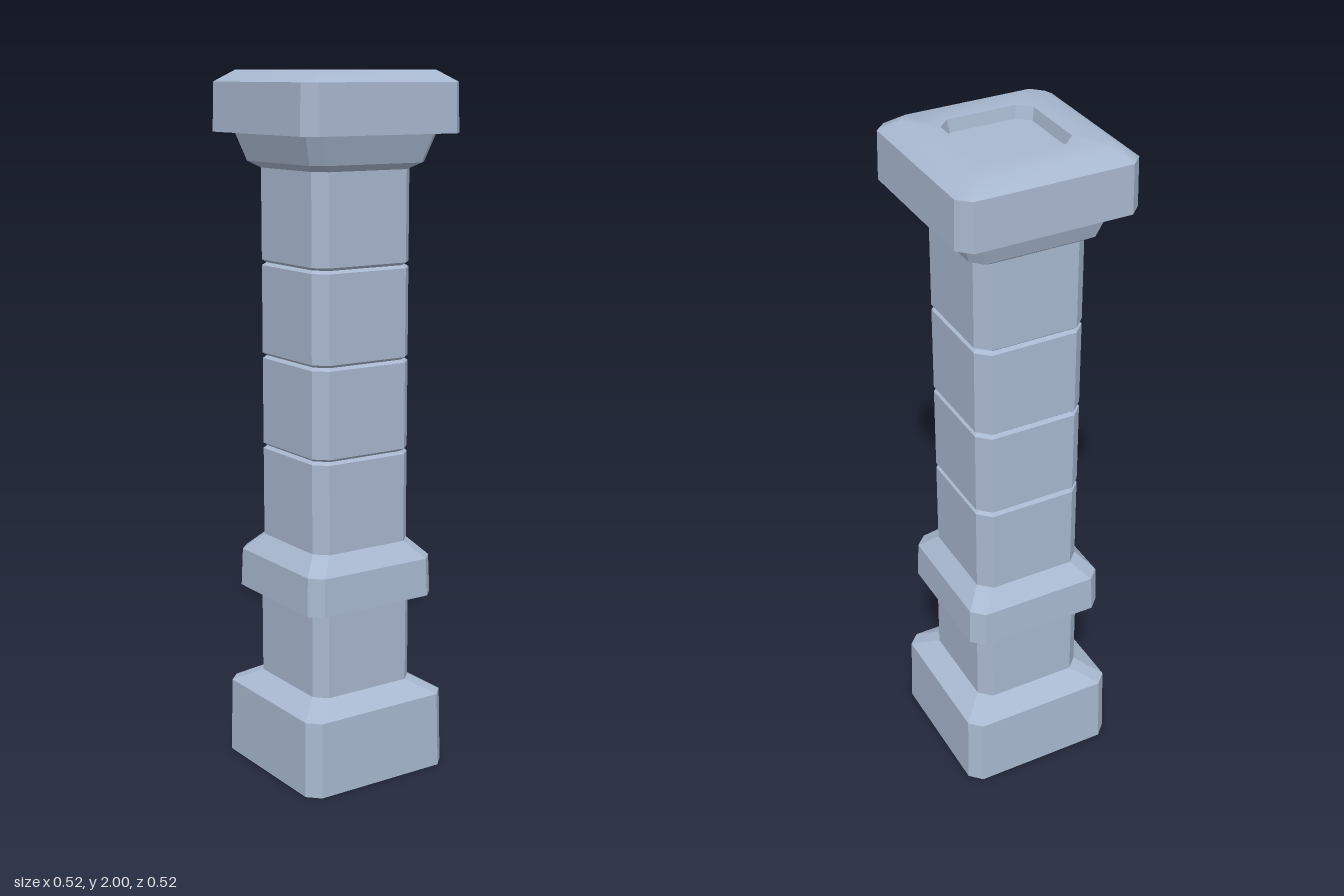
import * as THREE from 'three';

// Eight corners of a chamfered square, counter-clockwise from above
function ring([half, flat, y]) {
  return [[half, -flat], [half, flat], [flat, half], [-flat, half],
    [-half, flat], [-half, -flat], [-flat, -half], [flat, -half]]
    .map(([x, z]) => [x, y, -z]);
}

// Skin between rings given as [half width, half flat, height]
function loft(profile, smooth = false) {
  const index = [];
  for (let r = 0; r < profile.length - 1; r++) {
    for (let i = 0; i < 8; i++) {
      const a = r * 8 + i, b = r * 8 + (i + 1) % 8;
      index.push(a, b, b + 8, a, b + 8, a + 8);
    }
  }
  let geo = new THREE.BufferGeometry();
  geo.setAttribute('position', new THREE.Float32BufferAttribute(profile.flatMap(ring).flat(), 3));
  geo.setIndex(index);
  if (!smooth) geo = geo.toNonIndexed();
  geo.computeVertexNormals();
  return geo;
}

export function createModel() {
  const group = new THREE.Group();
  const stone = new THREE.MeshStandardMaterial({ color: 0xa8b8cf, side: THREE.DoubleSide });
  stone.name = 'blue grey stone';
  const add = (name, geo) => {
    const mesh = new THREE.Mesh(geo, stone);
    mesh.name = name;
    group.add(mesh);
    return mesh;
  };

  // Foot block, open underneath, with sloped shoulder
  add('base', loft([[0.238, 0.204, 0], [0.234, 0.2, 0.22], [0.167, 0.133, 0.26]]));
  add('lowerShaft', loft([[0.167, 0.133, 0.26], [0.167, 0.133, 0.52]]));
  add('collar', loft([[0.167, 0.133, 0.52], [0.212, 0.177, 0.52],
    [0.208, 0.174, 0.63], [0.162, 0.127, 0.68]]));

  // Four stacked shaft blocks separated by narrow V grooves
  const joints = [0.68, 0.944, 1.207, 1.472, 1.735];
  for (let i = 0; i < 4; i++) {
    const profile = [[0.162, 0.127, joints[i]], [0.162, 0.127, joints[i + 1]]];
    if (i > 0) {
      profile[0][2] += 0.008;
      profile.unshift([0.152, 0.119, joints[i]]);
    }
    if (i < 3) {
      profile[profile.length - 1][2] -= 0.008;
      profile.push([0.152, 0.119, joints[i + 1]]);
    }
    add('shaftBlock' + (i + 1), loft(profile));
  }

  // Flared neck under the cap
  add('neck', loft([[0.162, 0.127, 1.735], [0.188, 0.158, 1.753], [0.214, 0.18, 1.832]]));
  add('capSides', loft([[0.214, 0.18, 1.832], [0.259, 0.223, 1.832], [0.256, 0.222, 1.968]]));

  // Softly shaded cap top with a shallow recess
  add('capTop', loft([[0.256, 0.222, 1.968], [0.21, 0.18, 2], [0.134, 0.099, 2]], true));
  add('recessWall', loft([[0.134, 0.099, 2], [0.128, 0.094, 1.965]]));
  const outline = new THREE.Shape(ring([0.128, 0.094, 0]).map(([x, , z]) => new THREE.Vector2(x, -z)));
  const floor = add('recessFloor', new THREE.ShapeGeometry(outline));
  floor.rotation.x = -Math.PI / 2;
  floor.position.y = 1.965;

  return group;
}
